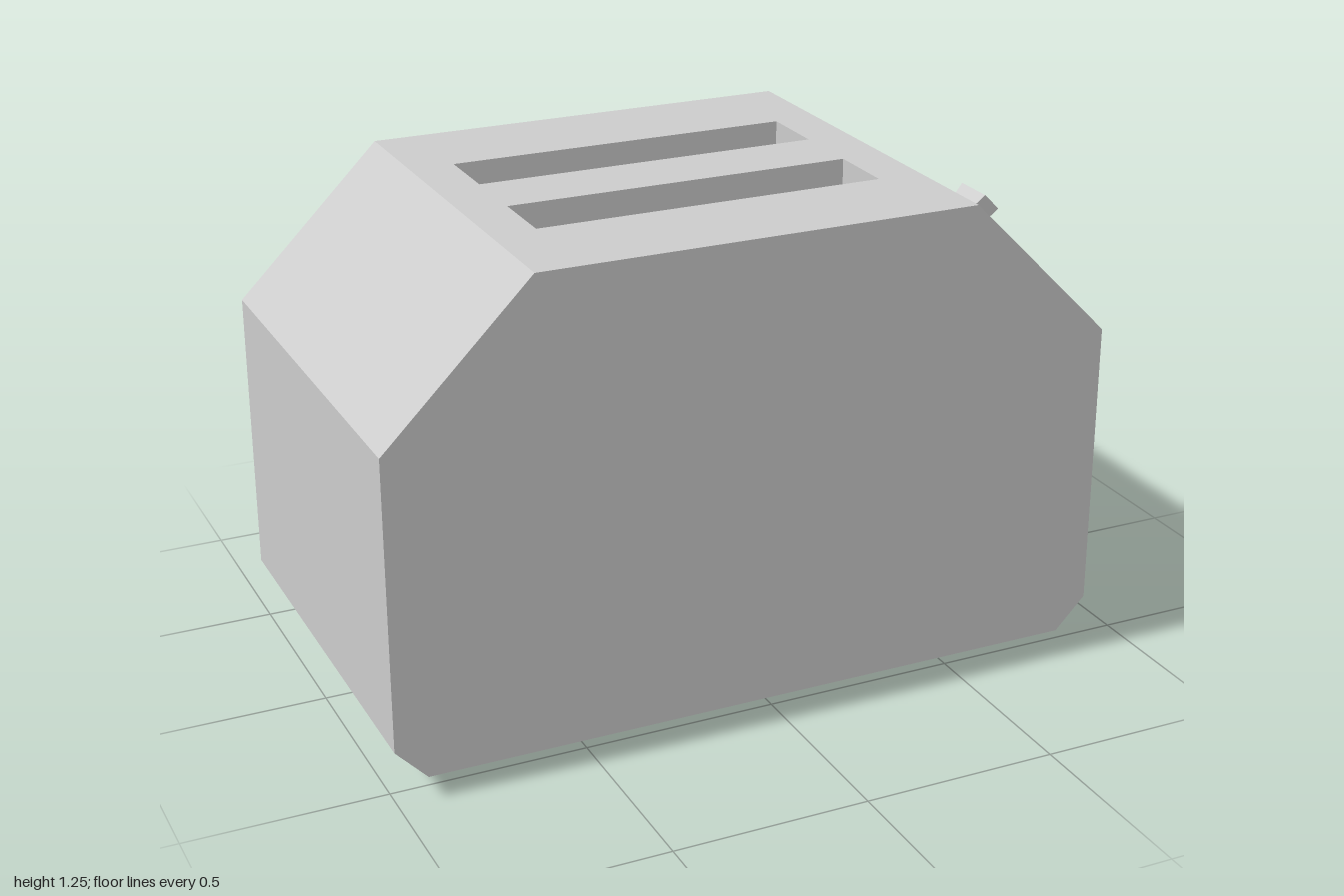
import * as THREE from 'three';
import { mergeGeometries } from 'three/addons/utils/BufferGeometryUtils.js';

const mat = new THREE.MeshStandardMaterial({ color: 0xcccccc, flatShading: true, side: THREE.DoubleSide });
const HALF = 0.553;   // half depth of the body
const GROOVE = 0.035; // half width of the lever groove
const TOP = 1.255;

const toShape = (pts) => new THREE.Shape(pts.map(([x, y]) => new THREE.Vector2(x, y)));

function add(parent, name, geometry) {
  const mesh = new THREE.Mesh(geometry, mat);
  mesh.name = name;
  parent.add(mesh);
  return mesh;
}

// Flat panel over the profile edge p -> q, spanning z0..z1.
// notchStart / notchEnd cut the groove into an end; holes are [s0, s1, z0, z1].
function panel(p, q, z0, z1, { notchStart = 0, notchEnd = 0, holes = [] } = {}) {
  const d = new THREE.Vector3(q[0] - p[0], q[1] - p[1], 0);
  const L = d.length(), g = GROOVE;
  d.normalize();
  const pts = [[0, z0], [L, z0]];
  if (notchEnd) pts.push([L, -g], [L - notchEnd, -g], [L - notchEnd, g], [L, g]);
  pts.push([L, z1], [0, z1]);
  if (notchStart) pts.push([0, g], [notchStart, g], [notchStart, -g], [0, -g]);
  const shape = toShape(pts);
  for (const [a, b, c, e] of holes) shape.holes.push(toShape([[a, c], [a, e], [b, e], [b, c]]));
  const m = new THREE.Matrix4().makeBasis(d, new THREE.Vector3(0, 0, 1), new THREE.Vector3(d.y, -d.x, 0));
  m.setPosition(p[0], p[1], 0);
  return new THREE.ShapeGeometry(shape).applyMatrix4(m);
}

// Two flat walls with the same outline at z0 and z1
const walls = (pts, z0, z1) => [z0, z1].map((z) => new THREE.ShapeGeometry(toShape(pts)).translate(0, 0, z));

// Recess lining: floor panels along an open path, plus both side walls
function channel(path, z0, z1, rim = []) {
  const floors = path.slice(1).map((q, i) => panel(path[i], q, z0, z1));
  return mergeGeometries([...floors, ...walls([...path, ...rim], z0, z1)]);
}

export function createModel() {
  const model = new THREE.Group();
  model.name = 'toaster';

  // Body shell: chamfered outline, counter-clockwise
  const outline = [[-0.92, 0.055], [0.8, 0.055], [0.88, 0.138], [0.88, 0.88],
    [0.505, TOP], [-0.625, TOP], [-1, 0.88], [-1, 0.138]];
  const slotX = [-0.51, 0.39];
  const slots = [[-0.28, -0.097], [0.09, 0.274]];
  const grooveBottom = 0.435, grooveTop = [0.66, 1.1];
  const cuts = {
    2: { notchEnd: 0.88 - grooveBottom },
    3: { notchStart: Math.hypot(0.88 - grooveTop[0], grooveTop[1] - 0.88) },
    4: { holes: slots.map(([a, b]) => [0.505 - slotX[1], 0.505 - slotX[0], a, b]) },
  };
  const panels = outline.map((p, i) => panel(p, outline[(i + 1) % outline.length], -HALF, HALF, cuts[i]));
  add(model, 'body', mergeGeometries([...panels, ...walls(outline, -HALF, HALF)]));

  // Bread slots
  const slotFloor = TOP - 0.6;
  for (const [a, b] of slots) {
    add(model, 'breadSlot', channel([[slotX[1], TOP], [slotX[1], slotFloor], [slotX[0], slotFloor], [slotX[0], TOP]], a, b));
  }

  // Lever groove, bending from the side onto the slope
  add(model, 'leverGroove', channel(
    [[0.88, grooveBottom], [0.83, grooveBottom], [0.83, 0.859], [0.625, 1.065], grooveTop],
    -GROOVE, GROOVE, [[0.88, 0.88]]));

  // Flared lever standing square to the slope
  const leverShape = toShape([[-0.033, -0.05], [0.033, -0.05], [0.036, -0.005], [0.058, 0.115],
    [-0.058, 0.115], [-0.036, -0.005]]);
  const leverGeo = new THREE.ExtrudeGeometry(leverShape, { depth: 0.06, bevelEnabled: false });
  const lever = add(model, 'lever', leverGeo.translate(0, 0, -0.03).rotateY(Math.PI / 2));
  lever.position.set(0.772, 0.988, 0);
  lever.rotation.z = -Math.PI / 4;

  // Hexagonal dial
  const dial = add(model, 'dial', new THREE.CylinderGeometry(0.121, 0.121, 0.12, 6).rotateZ(-Math.PI / 2));
  dial.position.set(0.94, 0.268, 0);

  // Feet
  for (const x of [-0.67, 0.592]) {
    for (const z of [0.35, -0.382]) {
      add(model, 'foot', new THREE.BoxGeometry(0.095, 0.06, 0.144)).position.set(x, 0.03, z);
    }
  }
  return model;
}
